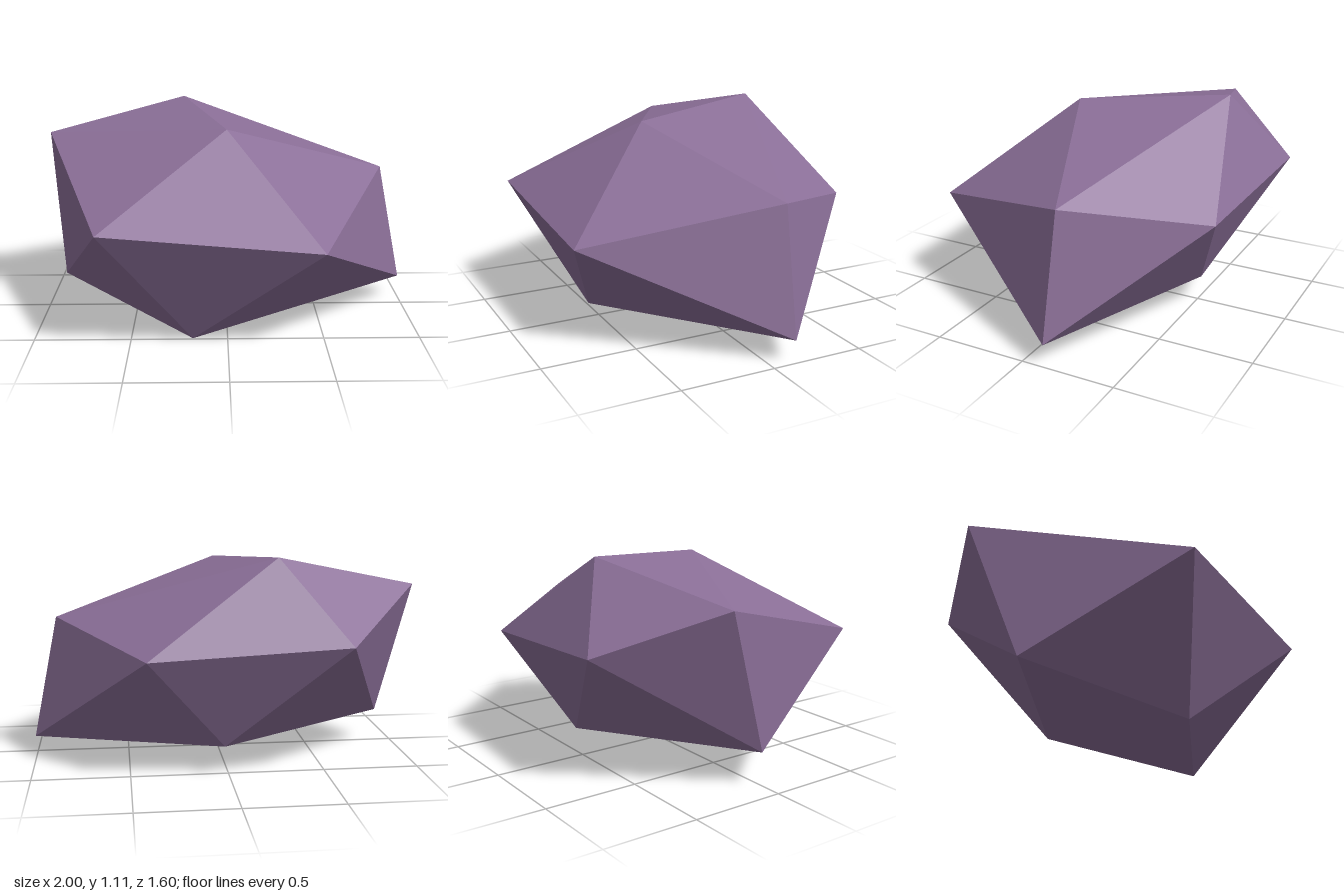
import * as THREE from 'three';

// Faceted rock: a twisted 20-sided solid made of a top point, two rings of five and a bottom point.
export function createModel() {
  const group = new THREE.Group();
  group.name = 'rock';

  const top = [0, 1.05, 0.23];
  const upperRing = [
    [-1, 0.94, -0.3], [-0.635, 0.645, 0.79], [0.465, 0.555, 0.8],
    [0.87, 0.77, -0.13], [-0.24, 1.11, -0.55],
  ];
  const lowerRing = [
    [-0.9, 0.185, -0.02], [-0.18, 0, 0.49], [1, 0.12, -0.12],
    [0.42, 0.64, -0.75], [-0.57, 0.7, -0.8],
  ];
  const bottom = [0.02, 0.15, -0.525];

  // Four triangles per sector: cap, two side facets, underside
  const corners = [];
  for (let i = 0; i < 5; i++) {
    const j = (i + 1) % 5;
    const [a, b, c, d] = [upperRing[i], upperRing[j], lowerRing[i], lowerRing[j]];
    corners.push(top, a, b, a, c, b, c, d, b, bottom, d, c);
  }

  const geometry = new THREE.BufferGeometry();
  geometry.setAttribute('position', new THREE.Float32BufferAttribute(corners.flat(), 3));
  geometry.computeVertexNormals(); // unshared corners keep every facet flat

  const material = new THREE.MeshStandardMaterial({ color: 0x8b6f98 });
  material.name = 'dusty purple stone';
  material.flatShading = true;

  const stone = new THREE.Mesh(geometry, material);
  stone.name = 'stone';
  group.add(stone);
  return group;
}
